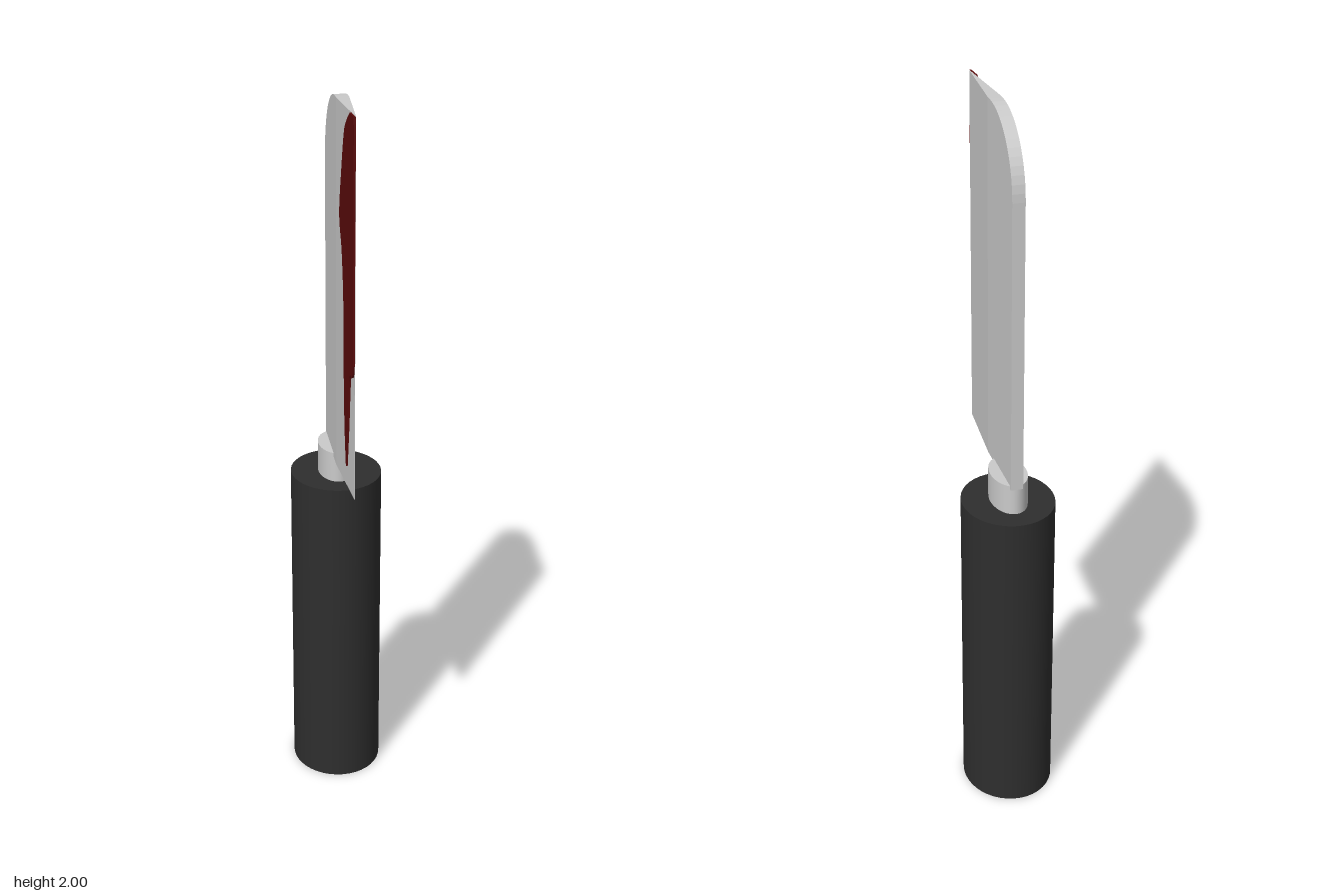
import * as THREE from 'three';

const steel = new THREE.MeshStandardMaterial({ name: 'steel', color: 0xcacaca });
const black = new THREE.MeshStandardMaterial({ name: 'blackHandle', color: 0x2e2e2e });
const darkRed = new THREE.MeshStandardMaterial({ name: 'darkRed', color: 0x5a0b0b });

const GRIP_Z = -0.115;

// Half thickness of the blade: constant at the spine, ground to an edge at the front
const halfThickness = (z) =>
  z <= 0.02 ? 0.017 : Math.max(0.0005, 0.017 * (0.25 - z) / 0.23);

// Upright oval cylinder centred on the grip axis
function oval(name, rx, rz, y0, y1, material) {
  const geo = new THREE.CylinderGeometry(1, 1, y1 - y0, 40);
  geo.scale(rx, 1, rz).translate(0, (y0 + y1) / 2, GRIP_Z);
  const mesh = new THREE.Mesh(geo, material);
  mesh.name = name;
  return mesh;
}

// Blade lofted from rectangular sections along z, with a rounded top back corner
function blade() {
  const steps = 14, radius = 0.2;
  const columns = [];
  for (let i = 0; i <= steps; i++) {
    const a = (i / steps) * Math.PI / 2;
    columns.push([-radius * Math.cos(a), 2 - radius + radius * Math.sin(a)]);
  }
  columns.push([0.02, 2], [0.25, 2]);

  const rings = columns.map(([z, top]) => {
    const h = halfThickness(z);
    return [[h, 1, z], [h, top, z], [-h, top, z], [-h, 1, z]];
  });
  const pos = [];
  const quad = (a, b, c, d) => pos.push(...a, ...b, ...c, ...a, ...c, ...d);
  for (let i = 0; i < rings.length - 1; i++) {
    const r = rings[i], s = rings[i + 1];
    for (let k = 0; k < 4; k++) {
      const n = (k + 1) % 4;
      quad(r[k], r[n], s[n], s[k]);
    }
  }
  quad(...[...rings[0]].reverse());
  quad(...rings[rings.length - 1]);

  const geo = new THREE.BufferGeometry();
  geo.setAttribute('position', new THREE.Float32BufferAttribute(pos, 3));
  geo.computeVertexNormals();
  const mesh = new THREE.Mesh(geo, steel);
  mesh.name = 'blade';
  return mesh;
}

// Dripping stain: a thin plate laid on the ground face of the right side
function stain() {
  const v = (z, y) => new THREE.Vector2(z, y);
  const shape = new THREE.Shape();
  shape.moveTo(0.255, 2);
  shape.lineTo(0.205, 2);
  shape.splineThru([
    v(0.17, 1.975), v(0.14, 1.94), v(0.11, 1.84), v(0.085, 1.72), v(0.115, 1.63),
    v(0.135, 1.5), v(0.14, 1.32), v(0.15, 1.17), v(0.168, 1.06),
  ]);
  shape.splineThru([v(0.188, 1.18), v(0.208, 1.32), v(0.238, 1.335), v(0.252, 1.37)]);
  shape.splineThru([v(0.254, 1.6), v(0.257, 1.8), v(0.257, 1.95), v(0.255, 2)]);

  const geo = new THREE.ExtrudeGeometry(shape, { depth: 0.005, bevelEnabled: false, curveSegments: 5 });
  geo.rotateY(-Math.PI / 2);
  const p = geo.attributes.position;
  for (let i = 0; i < p.count; i++) p.setX(i, p.getX(i) - halfThickness(p.getZ(i)) - 0.0005);
  geo.computeVertexNormals();
  const mesh = new THREE.Mesh(geo, darkRed);
  mesh.name = 'stain';
  return mesh;
}

export function createModel() {
  const group = new THREE.Group();
  group.name = 'cleaver';
  group.add(
    oval('handle', 0.127, 0.145, 0, 0.925, black),
    oval('collar', 0.05, 0.084, 0.9, 1.01, steel),
    blade(),
    stain(),
  );
  return group;
}
